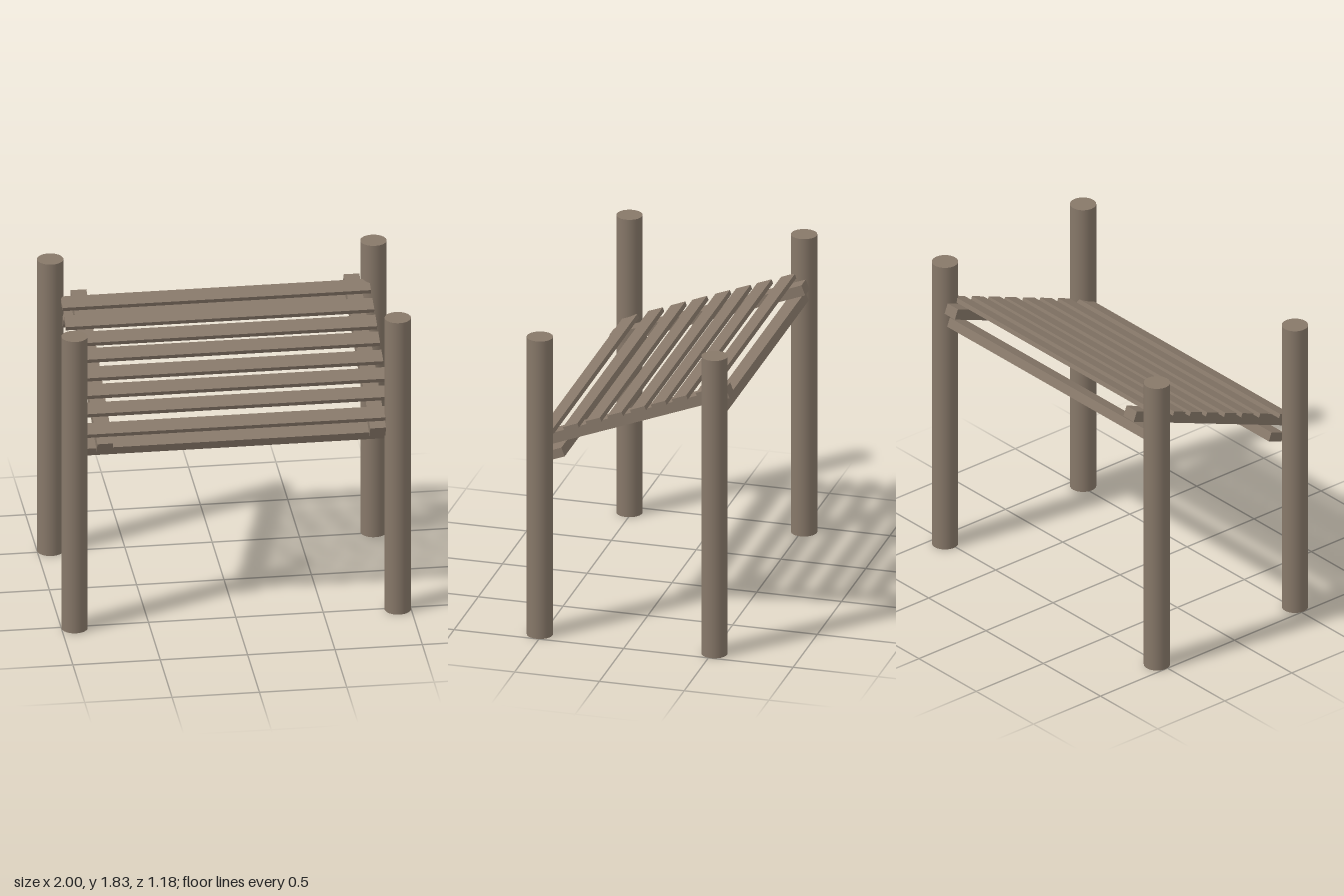
import * as THREE from 'three';

export function createModel() {
  const model = new THREE.Group();
  model.name = 'slattedShelter';
  const wood = new THREE.MeshStandardMaterial({ color: 0x877869 });
  wood.name = 'weathered wood';

  const PITCH = THREE.MathUtils.degToRad(21);
  // Height of the rafter centre line at depth z
  const roofY = (z) => 1.357 - Math.tan(PITCH) * z;

  function add(name, geometry, x, y, z, pitch = 0) {
    const mesh = new THREE.Mesh(geometry, wood);
    mesh.name = name;
    mesh.position.set(x, y, z);
    mesh.rotation.x = pitch;
    model.add(mesh);
  }

  // Four round posts
  const post = new THREE.CylinderGeometry(0.075, 0.075, 1.83, 32);
  for (const x of [-0.925, 0.925]) {
    for (const z of [-0.515, 0.515]) {
      add(z > 0 ? 'frontPost' : 'backPost', post, x, 0.915, z);
    }
  }

  // Two sloping rafters
  const rafter = new THREE.BoxGeometry(0.09, 0.063, 1.213);
  for (const x of [-0.757, 0.805]) add('rafter', rafter, x, roofY(-0.005), -0.005, PITCH);

  // Cross beams under the rafters, tilted with the roof
  add('frontBeam', new THREE.BoxGeometry(1.743, 0.055, 0.1), 0.016, roofY(0.436) - 0.089, 0.436, PITCH);
  add('backBeam', new THREE.BoxGeometry(1.71, 0.055, 0.1), -0.003, roofY(-0.505) - 0.089, -0.505, PITCH);

  // Roof slats, slightly unevenly spaced
  const slat = new THREE.BoxGeometry(1.765, 0.026, 0.091);
  for (const z of [0.49, 0.341, 0.208, 0.08, -0.055, -0.177, -0.301, -0.442]) {
    add('roofSlat', slat, 0.0125, roofY(z) + 0.053, z, PITCH);
  }

  return model;
}
